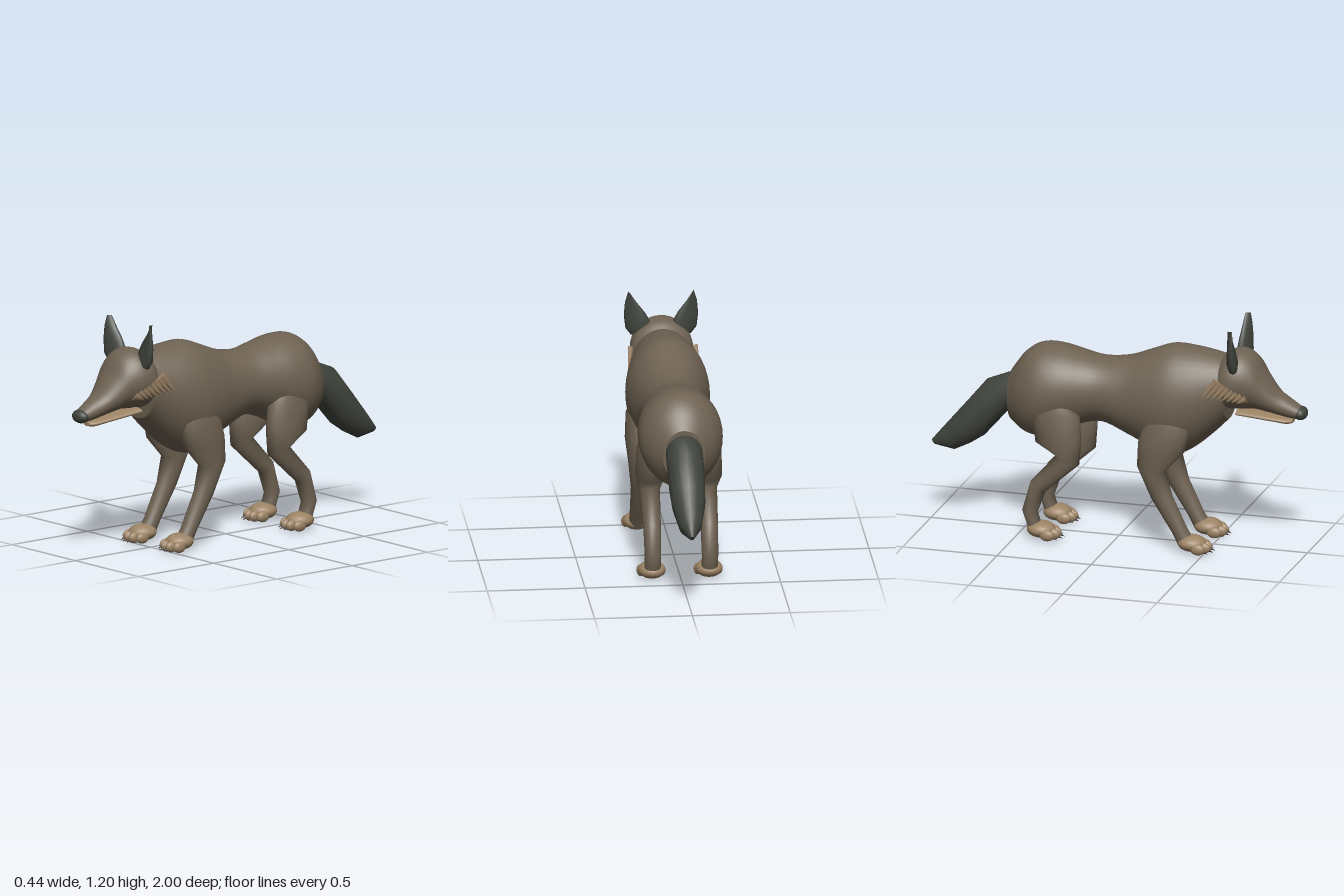
import * as THREE from 'three';

const mat = (name, color) => {
  const m = new THREE.MeshStandardMaterial({ color });
  m.name = name;
  return m;
};

// Closed skin over oval rings. Each ring is [a, b, w]: two opposite points and a half width along axis.
function loft(rings, axis, { steps = 0, sides = 24 } = {}) {
  let list = rings;
  if (steps) {
    const A = new THREE.CatmullRomCurve3(rings.map(r => r[0]));
    const B = new THREE.CatmullRomCurve3(rings.map(r => r[1]));
    const W = new THREE.CatmullRomCurve3(rings.map((r, i) => new THREE.Vector3(r[2], i * 0.1, 0)));
    list = Array.from({ length: steps + 1 }, (_, i) => {
      const t = i / steps;
      return [A.getPoint(t), B.getPoint(t), W.getPoint(t).x];
    });
  }
  const pos = [], idx = [];
  const addRing = ([a, b, w]) => {
    const c = a.clone().add(b).multiplyScalar(0.5), h = a.clone().sub(c);
    for (let j = 0; j < sides; j++) {
      const t = (j / sides) * Math.PI * 2;
      pos.push(...c.clone().addScaledVector(h, Math.cos(t)).addScaledVector(axis, w * Math.sin(t)).toArray());
    }
    return c;
  };
  list.forEach(addRing);
  for (let i = 0; i < list.length - 1; i++) {
    for (let j = 0; j < sides; j++) {
      const p = i * sides + j, q = i * sides + (j + 1) % sides;
      idx.push(p, q, p + sides, q, q + sides, p + sides);
    }
  }
  // End caps on their own vertices, for a sharp rim
  [list[0], list[list.length - 1]].forEach((ring, end) => {
    const start = pos.length / 3;
    const c = addRing(ring);
    pos.push(c.x, c.y, c.z);
    for (let j = 0; j < sides; j++) {
      const p = start + j, q = start + (j + 1) % sides;
      idx.push(start + sides, end ? p : q, end ? q : p);
    }
  });
  // Turn the skin outward if its signed volume is negative
  let volume = 0;
  const at = k => new THREE.Vector3().fromArray(pos, k * 3);
  for (let k = 0; k < idx.length; k += 3) volume += at(idx[k]).dot(at(idx[k + 1]).cross(at(idx[k + 2])));
  if (volume < 0) idx.reverse();
  const g = new THREE.BufferGeometry();
  g.setAttribute('position', new THREE.Float32BufferAttribute(pos, 3));
  g.setIndex(idx);
  g.computeVertexNormals();
  return g;
}

const X = new THREE.Vector3(1, 0, 0), Z = new THREE.Vector3(0, 0, 1);
// Ring from side profile: [z, y] of one edge, [z, y] of the other, half width, centre x
const ring = ([za, ya, zb, yb, w], x = 0) => [new THREE.Vector3(x, ya, za), new THREE.Vector3(x, yb, zb), w];
// Upright ring: z, top y, bottom y, half width
const slice = ([z, t, b, w]) => ring([z, t, z, b, w]);

export function createModel() {
  const root = new THREE.Group();
  root.name = 'wildDog';
  const brown = mat('brownFur', 0x6e6252);
  const dark = mat('darkFur', 0x41443d);
  const tan = mat('tanFur', 0x9c8365);
  const black = mat('claws', 0x3a342d);

  const add = (name, geometry, material, parent = root) => {
    const m = new THREE.Mesh(geometry, material);
    m.name = name;
    parent.add(m);
    return m;
  };
  const ball = (name, material, parent, p, s) => {
    const m = add(name, new THREE.SphereGeometry(1, 20, 14), material, parent);
    m.position.set(...p);
    m.scale.set(...s);
    return m;
  };

  // Torso: neck, chest, waist and rump
  add('body', loft([
    [0.59, 1.02, 0.69, 0.15], [0.5, 1.04, 0.60, 0.175], [0.39, 1.055, 0.51, 0.205], [0.29, 1.058, 0.47, 0.215],
    [0.18, 1.02, 0.505, 0.2], [0.06, 0.975, 0.56, 0.175], [-0.08, 0.957, 0.615, 0.165], [-0.2, 0.978, 0.59, 0.188],
    [-0.31, 1.0, 0.54, 0.213], [-0.41, 0.998, 0.51, 0.212], [-0.49, 0.95, 0.525, 0.175], [-0.565, 0.85, 0.58, 0.108],
  ].map(slice), X, { steps: 48, sides: 40 }), brown);

  // Head and muzzle
  add('head', loft([
    [0.55, 1.015, 0.77, 0.135], [0.6, 1.055, 0.75, 0.16], [0.665, 1.067, 0.752, 0.156], [0.73, 1.03, 0.757, 0.13],
    [0.785, 0.945, 0.748, 0.103], [0.85, 0.86, 0.735, 0.076], [0.91, 0.82, 0.722, 0.058], [0.965, 0.785, 0.718, 0.045],
  ].map(slice), X, { steps: 32, sides: 36 }), brown);
  ball('nose', dark, root, [0, 0.75, 0.965], [0.052, 0.035, 0.035]);

  // Lower jaw, widening toward the throat
  add('lowerJaw', loft([
    [0.925, 0.715, 0.695, 0.025], [0.9, 0.722, 0.69, 0.045], [0.8, 0.742, 0.705, 0.075], [0.65, 0.772, 0.73, 0.118],
  ].map(slice), X, { steps: 12 }), tan);

  // Tail
  add('tail', loft([
    [-0.54, 0.83, -0.54, 0.645, 0.093], [-0.58, 0.825, -0.58, 0.63, 0.095], [-0.7, 0.778, -0.715, 0.475, 0.094],
    [-0.81, 0.645, -0.79, 0.425, 0.085], [-0.92, 0.515, -0.87, 0.385, 0.058], [-0.995, 0.425, -0.975, 0.4, 0.012],
  ].map(r => ring(r)), X), dark);

  const frontLeg = [
    [0.36, 0.75, 0.25, 0.76, 0.035], [0.42, 0.66, 0.175, 0.68, 0.068], [0.39, 0.53, 0.145, 0.57, 0.076],
    [0.29, 0.42, 0.14, 0.44, 0.063], [0.325, 0.29, 0.215, 0.27, 0.045], [0.405, 0.12, 0.325, 0.10, 0.042],
    [0.445, 0.06, 0.36, 0.03, 0.042],
  ];
  const hindLeg = [
    [-0.23, 0.76, -0.35, 0.77, 0.035], [-0.168, 0.67, -0.42, 0.68, 0.07], [-0.16, 0.54, -0.40, 0.52, 0.076],
    [-0.17, 0.41, -0.285, 0.455, 0.055], [-0.35, 0.25, -0.425, 0.305, 0.045], [-0.39, 0.135, -0.47, 0.145, 0.042],
    [-0.365, 0.06, -0.43, 0.035, 0.042],
  ];

  // Paw with four toes and claws
  const paw = (name, x, z) => {
    const g = new THREE.Group();
    g.name = name;
    g.position.set(x, 0, z);
    root.add(g);
    ball('pad', tan, g, [0, 0.05, 0], [0.07, 0.043, 0.075]);
    for (let i = 0; i < 4; i++) {
      const tx = (i - 1.5) * 0.036, tz = i % 3 ? 0.065 : 0.045;
      ball('toe', tan, g, [tx, 0.033, tz], [0.02, 0.029, 0.038]);
      const claw = add('claw', new THREE.ConeGeometry(0.009, 0.035, 8), black, g);
      claw.position.set(tx, 0.02, tz + 0.038);
      claw.rotation.x = 1.95;
    }
  };

  for (const [side, s] of [['left', 1], ['right', -1]]) {
    const x = 0.146 * s;
    add(side + 'FrontLeg', loft(frontLeg.map(r => ring(r, x)), X), brown);
    add(side + 'HindLeg', loft(hindLeg.map(r => ring(r, x)), X), brown);
    paw(side + 'FrontPaw', x, 0.43);
    paw(side + 'HindPaw', x, -0.37);

    // Upright pointed ear: outer edge, inner edge, half thickness
    const ear = [
      [0.155, 0.975, 0.055, 1.02, 0.028], [0.182, 1.01, 0.06, 1.055, 0.03], [0.19, 1.08, 0.085, 1.1, 0.023],
      [0.184, 1.15, 0.128, 1.155, 0.014], [0.167, 1.205, 0.16, 1.203, 0.004],
    ].map(([xo, yo, xi, yi, w]) => [
      new THREE.Vector3(xo * s, yo, 0.648), new THREE.Vector3(xi * s, yi, 0.622), w]);
    add(side + 'Ear', loft(ear, Z, { sides: 20 }), dark);

    // Cheek ruff: overlapping tufts swept back and down
    const ruff = new THREE.Group();
    ruff.name = side + 'CheekRuff';
    root.add(ruff);
    const n = 8;
    for (let i = 0; i < n; i++) {
      const t = i / (n - 1);
      const from = new THREE.Vector3(s * (0.128 + 0.034 * t), 0.84 + 0.09 * t, 0.71 - 0.145 * t);
      const to = new THREE.Vector3(s * (0.148 + 0.037 * t), 0.817 + 0.02 * t, 0.665 - 0.18 * t);
      const d = to.clone().sub(from);
      const tuft = add('tuft', new THREE.ConeGeometry(0.024, d.length(), 10), tan, ruff);
      tuft.position.copy(from).add(to).multiplyScalar(0.5);
      tuft.quaternion.setFromUnitVectors(new THREE.Vector3(0, 1, 0), d.clone().normalize());
      tuft.scale.x = 0.6;
    }
  }
  return root;
}
